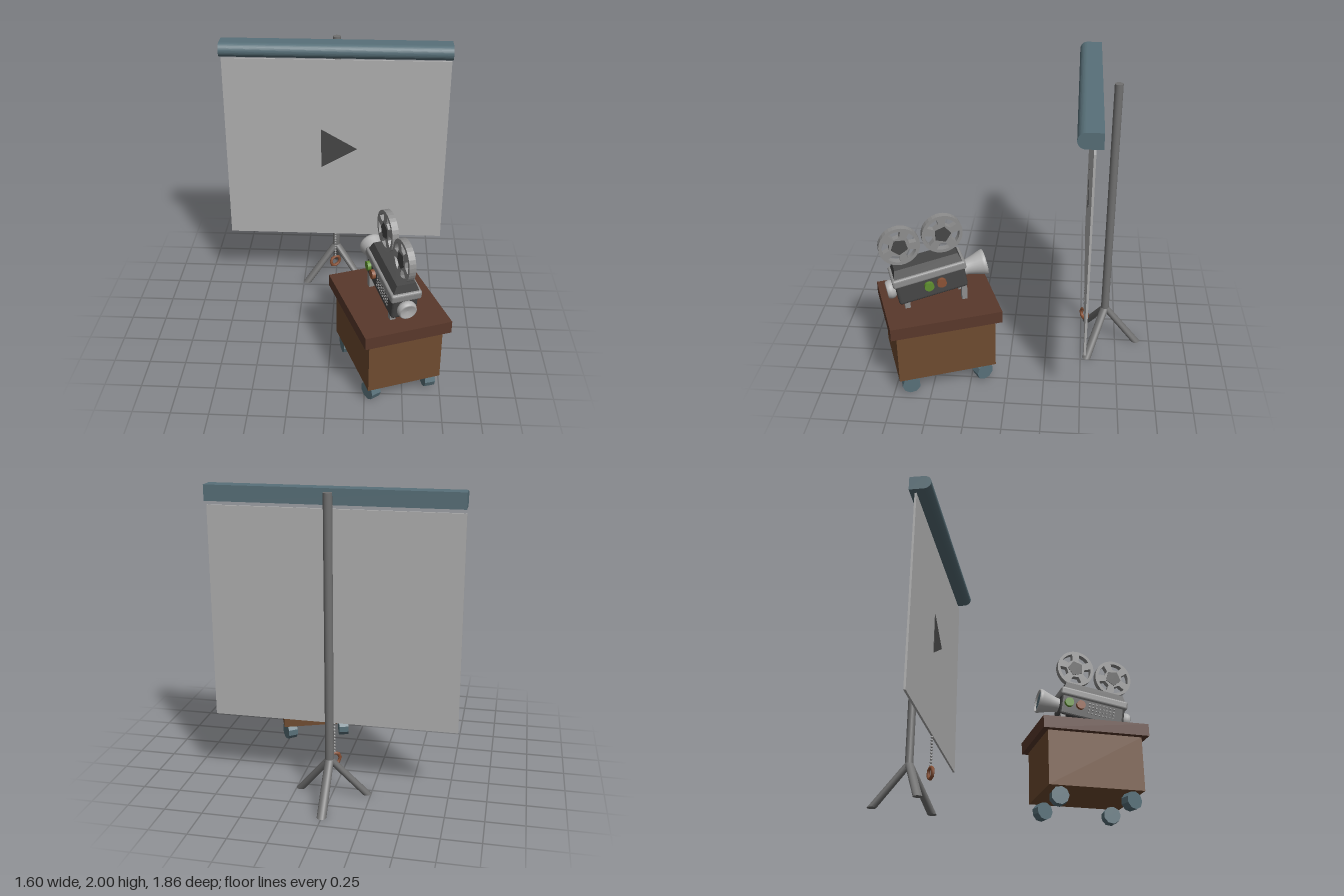
import * as THREE from 'three';
import { RoundedBoxGeometry } from 'three/addons/geometries/RoundedBoxGeometry.js';

const mat = (name, color, opts = {}) => {
  const m = new THREE.MeshStandardMaterial({ color, ...opts });
  m.name = name;
  return m;
};

export function createModel() {
  const flat = { flatShading: true };
  const darkWood = mat('darkWood', 0x59382b, flat);
  const wood = mat('wood', 0x6e4b30, flat);
  const blue = mat('blueGrey', 0x587079, flat);
  const steel = mat('steel', 0x707070);
  const fabric = mat('fabric', 0xb0b0b0, { side: THREE.DoubleSide });
  const charcoal = mat('charcoal', 0x464646, flat);
  const silver = mat('silver', 0x8e8e8e, flat);
  const green = mat('green', 0x5f8f2f);
  const copper = mat('copper', 0x8a5236);

  const model = new THREE.Group();
  const add = (parent, name, geo, material, x = 0, y = 0, z = 0) => {
    const mesh = new THREE.Mesh(geo, material);
    mesh.name = name;
    mesh.position.set(x, y, z);
    parent.add(mesh);
    return mesh;
  };
  const group = (parent, name, x, y, z) => {
    const g = new THREE.Group();
    g.name = name;
    g.position.set(x, y, z);
    parent.add(g);
    return g;
  };
  const box = (w, h, d) => new THREE.BoxGeometry(w, h, d);

  // ---- Screen stand ----
  const stand = group(model, 'screenStand', 0, 0, 0);
  add(stand, 'screen', box(1.6, 1.395, 0.014), fabric, 0, 1.1725, -0.517);

  const arrow = new THREE.Shape([
    new THREE.Vector2(-0.105, 1.045), new THREE.Vector2(0.155, 1.195), new THREE.Vector2(-0.105, 1.345)]);
  add(stand, 'screenTriangle', new THREE.ExtrudeGeometry(arrow, { depth: 0.005, bevelEnabled: false }),
    charcoal, 0, 0, -0.511);

  // Roller housing: flat back, half-round front
  const profile = new THREE.Shape();
  profile.moveTo(0.565, 1.9);
  profile.lineTo(0.565, 2.0);
  profile.lineTo(0.465, 2.0);
  profile.absarc(0.465, 1.95, 0.05, Math.PI / 2, Math.PI * 1.5, false);
  const housing = new THREE.ExtrudeGeometry(profile, { depth: 1.6, bevelEnabled: false, curveSegments: 16 });
  add(stand, 'rollerHousing', housing, blue, -0.8).rotation.y = Math.PI / 2;

  add(stand, 'pole', new THREE.CylinderGeometry(0.028, 0.028, 1.71, 20), steel, 0, 1.135, -0.665);

  // Splayed legs, cut level with the floor
  for (const [dx, dz] of [[0, -0.235], [0.222, 0.12], [-0.222, 0.12]]) {
    const leg = new THREE.CylinderGeometry(0.029, 0.031, 0.29, 16);
    const p = leg.attributes.position;
    for (let i = 0; i < p.count; i++) {
      const t = 0.5 - p.getY(i) / 0.29;
      p.setX(i, p.getX(i) + dx * t);
      p.setZ(i, p.getZ(i) + dz * t);
    }
    leg.computeVertexNormals();
    add(stand, 'tripodLeg', leg, steel, 0, 0.145, -0.665);
  }

  // Pull chain and ring
  const bead = new THREE.SphereGeometry(0.009, 8, 6);
  for (let i = 0; i < 10; i++) add(stand, 'chainBead', bead, silver, 0, 0.468 - i * 0.022, -0.518);
  add(stand, 'pullRing', new THREE.TorusGeometry(0.04, 0.012, 6, 8), copper, 0, 0.22, -0.518).rotation.y = 0.6;

  // ---- Cart ----
  const cart = group(model, 'cart', 0.393, 0, 0.477);
  cart.rotation.y = 0.36;
  add(cart, 'cartBody', box(0.5, 0.375, 0.662), wood, 0, 0.3175, 0);
  add(cart, 'cartTop', box(0.582, 0.085, 0.742), darkWood, 0, 0.5475, 0);
  const wheelGeo = new THREE.CylinderGeometry(0.061, 0.061, 0.07, 9).rotateZ(Math.PI / 2);
  for (const sx of [-1, 1]) for (const sz of [-1, 1]) {
    add(cart, 'wheel', wheelGeo, blue, sx * 0.2, 0.068, sz * 0.25)
      .rotation.y = sx === sz ? -0.05 : 0.3;
  }

  // ---- Projector ----
  for (const sx of [-0.06, 0.06]) {
    add(cart, 'frontPost', box(0.036, 0.12, 0.036), silver, sx, 0.645, -0.168);
    add(cart, 'rearPost', box(0.036, 0.08, 0.036), silver, sx, 0.625, 0.217);
  }
  const cam = group(cart, 'projector', 0, 0.785, 0.057);
  cam.rotation.x = 0.16;
  add(cam, 'projectorBody', new RoundedBoxGeometry(0.172, 0.2, 0.47, 2, 0.02), charcoal, 0, -0.03, 0);
  add(cam, 'projectorBand', new RoundedBoxGeometry(0.205, 0.062, 0.495, 2, 0.015), silver, 0, 0.047, 0);

  // Lid narrows toward its top
  const lid = box(0.175, 0.06, 0.46);
  const lp = lid.attributes.position;
  for (let i = 0; i < lp.count; i++) if (lp.getY(i) > 0) {
    lp.setX(i, lp.getX(i) * 0.72);
    lp.setZ(i, lp.getZ(i) * 0.92);
  }
  add(cam, 'projectorLid', lid, charcoal, 0, 0.102, 0);

  // Flared lens hood with recessed glass, and eyepiece; both turned about the body axis
  const lathe = (pts) => new THREE.LatheGeometry(pts.map(([r, y]) => new THREE.Vector2(r, y)), 24);
  const hood = lathe([[0.05, 0], [0.052, 0.03], [0.066, 0.08], [0.083, 0.13], [0.087, 0.145],
    [0.084, 0.157], [0.076, 0.157], [0.07, 0.135]]);
  add(cam, 'lensHood', hood, fabric, 0, -0.035, -0.23).rotation.x = -Math.PI / 2;
  add(cam, 'lensGlass', new THREE.CylinderGeometry(0.073, 0.073, 0.008, 24), blue, 0, -0.035, -0.37)
    .rotation.x = Math.PI / 2;
  const eye = lathe([[0.045, 0], [0.06, 0.02], [0.064, 0.035], [0.058, 0.058], [0.05, 0.064], [0.045, 0.055], [0, 0.05]]);
  add(cam, 'eyepiece', eye, fabric, 0, -0.035, 0.228).rotation.x = Math.PI / 2;

  // Round control buttons on both sides
  const button = new THREE.CylinderGeometry(0.032, 0.032, 0.04, 16).rotateZ(Math.PI / 2);
  for (const [x, zg, zc] of [[0.09, 0.02, -0.065], [-0.09, -0.18, -0.095]]) {
    add(cam, 'greenButton', button, green, x, -0.034, zg);
    add(cam, 'copperButton', button, copper, x, -0.034, zc);
  }

  // Vent slats
  for (let row = 0; row < 4; row++) for (let i = 0; i < 8; i++)
    add(cam, 'ventSlat', box(0.008, 0.008, 0.012), silver, -0.088, -0.075 + row * 0.024, -0.03 + i * 0.026);

  // Film reels: rim, five wide spokes, dark pentagon hub
  const reel = new THREE.Shape().absarc(0, 0, 0.135, 0, Math.PI * 2, false);
  for (let i = 0; i < 5; i++) {
    const a = Math.PI / 2 + (i * Math.PI * 2) / 5;
    const hole = new THREE.Path();
    hole.absarc(0, 0, 0.113, a - 0.38, a + 0.38, false);
    hole.lineTo(Math.cos(a + 0.3) * 0.068, Math.sin(a + 0.3) * 0.068);
    hole.lineTo(Math.cos(a - 0.3) * 0.068, Math.sin(a - 0.3) * 0.068);
    hole.closePath();
    reel.holes.push(hole);
  }
  const reelGeo = new THREE.ExtrudeGeometry(reel, { depth: 0.044, bevelEnabled: false, curveSegments: 16 })
    .translate(0, 0, -0.022).rotateY(Math.PI / 2);
  const hubGeo = new THREE.CylinderGeometry(0.058, 0.058, 0.052, 5).rotateZ(Math.PI / 2);
  for (const [z, y, turn] of [[0.139, 0.272, 0.1], [-0.148, 0.275, 0.5]]) {
    const g = group(cam, 'filmReel', 0, y, z);
    g.rotation.x = turn;
    add(g, 'reelWheel', reelGeo, silver);
    add(g, 'reelHub', hubGeo, charcoal);
  }
  return model;
}
